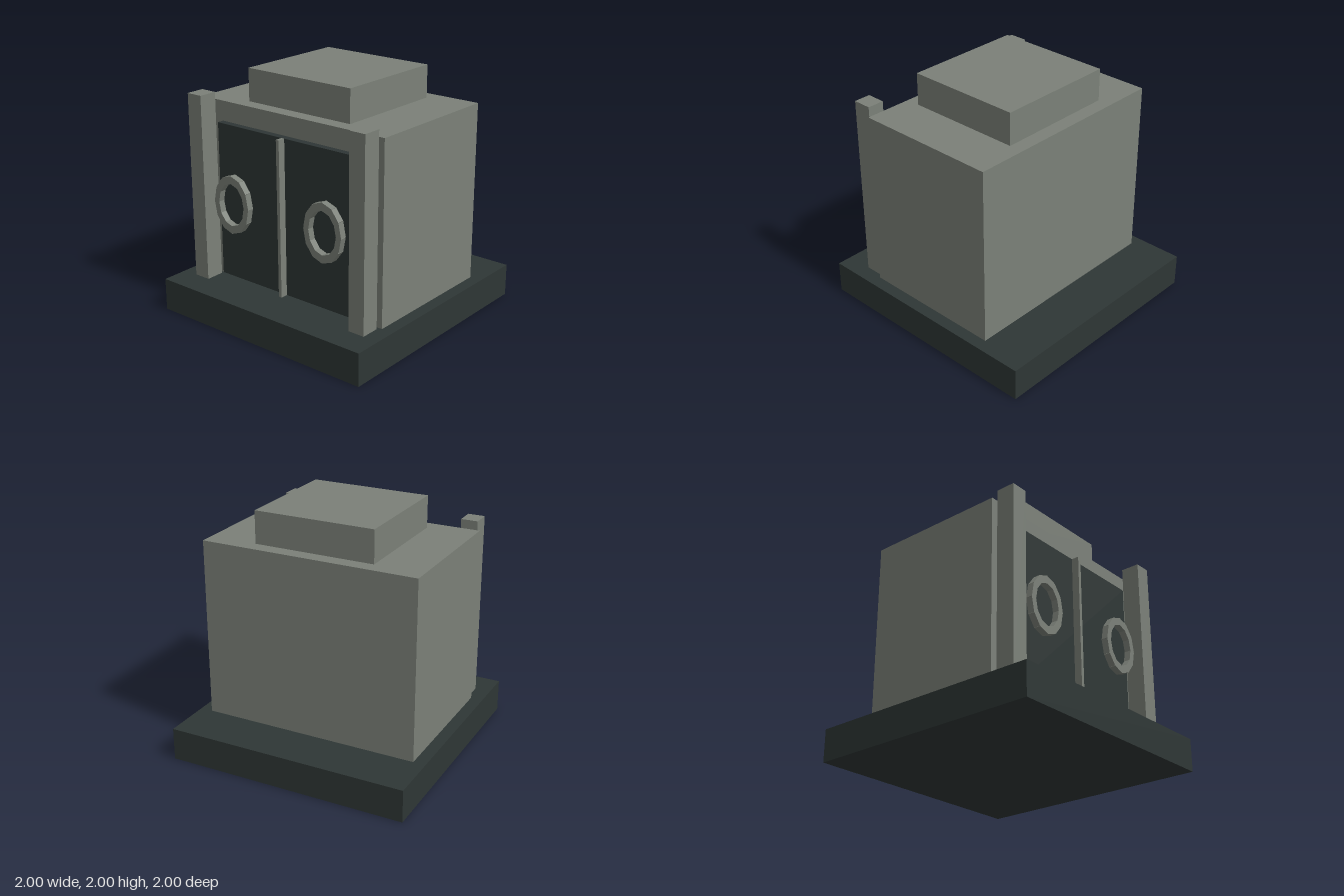
import * as THREE from 'three';

const stone = new THREE.MeshStandardMaterial({ color: 0x7b8078 });
stone.name = 'greyStone';
const dark = new THREE.MeshStandardMaterial({ color: 0x2e3635 });
dark.name = 'darkSlate';

// Box given by its extents on each axis
function block(name, material, [x0, x1], [y0, y1], [z0, z1]) {
  const mesh = new THREE.Mesh(new THREE.BoxGeometry(x1 - x0, y1 - y0, z1 - z0), material);
  mesh.position.set((x0 + x1) / 2, (y0 + y1) / 2, (z0 + z1) / 2);
  mesh.name = name;
  return mesh;
}

// Oval door ring made of twelve straight blocks
function doorRing(name, x) {
  const ring = new THREE.Group();
  ring.name = name;
  const geometry = new THREE.BoxGeometry(0.047, 0.091, 0.055);
  for (let i = 0; i < 12; i++) {
    const angle = (i + 0.5) * Math.PI / 6;
    const segment = new THREE.Mesh(geometry, stone);
    segment.name = 'ringSegment';
    segment.position.set(0.1505 * Math.cos(angle), 0.1505 * Math.sin(angle), 0);
    segment.rotation.z = angle;
    ring.add(segment);
  }
  ring.scale.y = 1.33;
  ring.position.set(x, 0.963, 0.728);
  return ring;
}

export function createModel() {
  const model = new THREE.Group();
  model.name = 'stoneVault';

  // Plinth, main body and raised roof block
  model.add(block('base', dark, [-1, 1], [0, 0.267], [-1, 1]));
  model.add(block('body', stone, [-0.9, 0.9], [0.267, 1.735], [-0.597, 0.597]));
  model.add(block('roofBlock', stone, [-0.5, 0.5], [1.735, 2], [-0.48, 0.48]));

  // Double door with its centre strip
  model.add(block('doors', dark, [-0.677, 0.677], [0.3, 1.573], [0.597, 0.653]));
  model.add(block('doorStrip', stone, [-0.014, 0.014], [0.3, 1.573], [0.653, 0.715]));

  // Mirrored posts and rings
  for (const [side, s] of [['left', 1], ['right', -1]]) {
    const x = 0.8 * s;
    model.add(block(side + 'Post', stone, [x - 0.07, x + 0.07], [0.267, 1.8], [0.622, 0.778]));
    model.add(doorRing(side + 'DoorRing', 0.46 * s));
  }
  return model;
}
